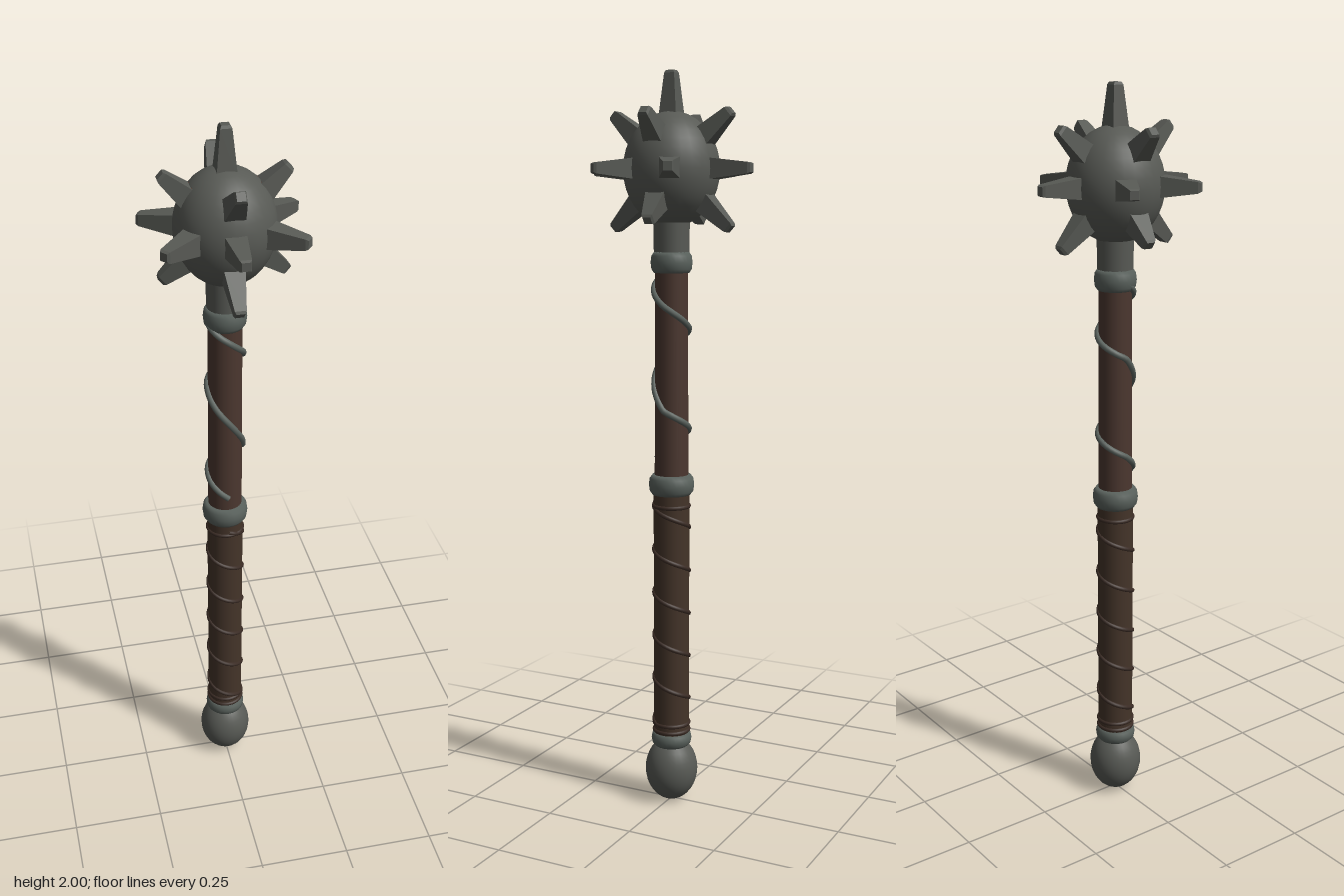
import * as THREE from 'three';

const mat = (name, color) => {
  const m = new THREE.MeshStandardMaterial({ color });
  m.name = name;
  return m;
};

export function createModel() {
  const iron = mat('dark iron', 0x585a55);
  const trim = mat('iron trim', 0x5a625d);
  const wood = mat('dark wood', 0x4b372f);
  const leather = mat('leather', 0x443429);
  const cordMat = mat('leather cord', 0x3b2c25);
  const rust = mat('rust', 0x66483c);

  const model = new THREE.Group();
  model.name = 'spikedMace';
  const add = (name, geometry, material, y = 0, parent = model) => {
    const mesh = new THREE.Mesh(geometry, material);
    mesh.name = name;
    mesh.position.y = y;
    parent.add(mesh);
    return mesh;
  };
  const rod = (name, r0, r1, y0, y1, material) =>
    add(name, new THREE.CylinderGeometry(r1, r0, y1 - y0, 24), material, (y0 + y1) / 2);
  // Rounded collar, bulging from the rim radius to the full radius
  const collar = (name, r, y0, y1, material) => {
    const h = y1 - y0, rim = r * 0.84;
    const pts = [[0, 0], [rim, 0], [r * 0.96, h * 0.18], [r, h * 0.5], [r * 0.96, h * 0.82], [rim, h], [0, h]];
    add(name, new THREE.LatheGeometry(pts.map(p => new THREE.Vector2(...p)), 28), material, y0);
  };
  // Coil running front, +x, back, -x; heightAt gives y for a number of turns
  const coil = (name, r, thickness, t0, t1, heightAt, material) => {
    const pts = [];
    const n = Math.ceil((t1 - t0) * 16);
    for (let i = 0; i <= n; i++) {
      const t = t0 + (t1 - t0) * i / n, a = t * Math.PI * 2;
      pts.push(new THREE.Vector3(Math.sin(a) * r, heightAt(t), Math.cos(a) * r));
    }
    add(name, new THREE.TubeGeometry(new THREE.CatmullRomCurve3(pts), n * 2, thickness, 8), material);
  };

  // Pommel
  const pommel = add('pommel', new THREE.SphereGeometry(0.073, 28, 18), iron, 0.09);
  pommel.scale.y = 0.09 / 0.073;
  collar('pommelCollar', 0.056, 0.16, 0.2, trim);

  // Wrapped grip
  rod('grip', 0.049, 0.049, 0.19, 0.88, leather);
  coil('gripCord', 0.0475, 0.0065, 0, 5.2, t => 0.855 - 0.122 * t, cordMat);
  for (const y of [0.205, 0.225, 0.845]) {
    const band = add('gripBand', new THREE.TorusGeometry(0.0475, 0.006, 8, 28), cordMat, y);
    band.rotation.x = Math.PI / 2;
  }
  collar('middleCollar', 0.062, 0.877, 0.932, trim);

  // Upper shaft with a loose, uneven wire around it
  rod('shaft', 0.046, 0.044, 0.92, 1.5, wood);
  const wireY = [1.5, 1.45, 1.39, 1.34, 1.3, 1.21, 1.11, 1.07, 1.03, 0.97];
  const wireHeight = t => {
    const f = (t + 0.25) * 4, i = Math.min(Math.floor(f), wireY.length - 2);
    return THREE.MathUtils.lerp(wireY[i], wireY[i + 1], f - i);
  };
  coil('shaftWire', 0.047, 0.0085, -0.25, 2, wireHeight, trim);

  // Neck and head
  collar('neckCollar', 0.056, 1.477, 1.532, trim);
  rod('neck', 0.047, 0.049, 1.52, 1.63, iron);
  const cy = 1.747;
  const ball = add('headBall', new THREE.SphereGeometry(0.128, 28, 18), iron, cy);
  ball.scale.y = 0.15 / 0.128;

  // Square, blunt spike lying along +z with its sides squared to the axes
  const spikeGeometry = length => {
    const profile = [[0.03, 0], [0.027, 0.02], [0.0145, length - 0.007], [0.011, length], [0, length]];
    const pts = profile.map(([r, h]) => new THREE.Vector2(r * Math.SQRT2, h));
    const g = new THREE.LatheGeometry(pts, 4, Math.PI / 4).toNonIndexed();
    g.computeVertexNormals();
    return g.rotateX(Math.PI / 2);
  };
  const tips = [
    [0, 2, 0], [0, 1.747, 0.23], [0, 1.747, -0.23],
    [0, 1.893, 0.172], [0, 1.893, -0.172], [0, 1.592, 0.172], [0, 1.592, -0.172],
  ];
  for (const s of [1, -1])
    tips.push([0.2, 1.747, -0.09], [0.175, 1.747, 0.14], [0.157, 1.89, 0], [0.16, 1.613, -0.012])
      && tips.slice(-4).forEach(p => { p[0] *= s; });

  const centre = new THREE.Vector3(0, cy, 0);
  for (const tip of tips) {
    const end = new THREE.Vector3(...tip);
    const dir = end.clone().sub(centre).normalize();
    const spike = new THREE.Group();
    spike.name = 'spike';
    spike.position.copy(centre).addScaledVector(dir, 0.1);
    spike.lookAt(end);
    const length = spike.position.distanceTo(end);
    add('spikeBody', spikeGeometry(length), iron, 0, spike);
    // Rust patch on top of the raised side spikes
    if (tip[1] > 1.8 && tip[1] < 1.95) {
      const patch = add('rustPatch', new THREE.BoxGeometry(0.042, 0.003, 0.026), rust, 0.0262, spike);
      patch.position.z = 0.024;
      patch.rotation.x = 0.13;
    }
    model.add(spike);
  }
  return model;
}
